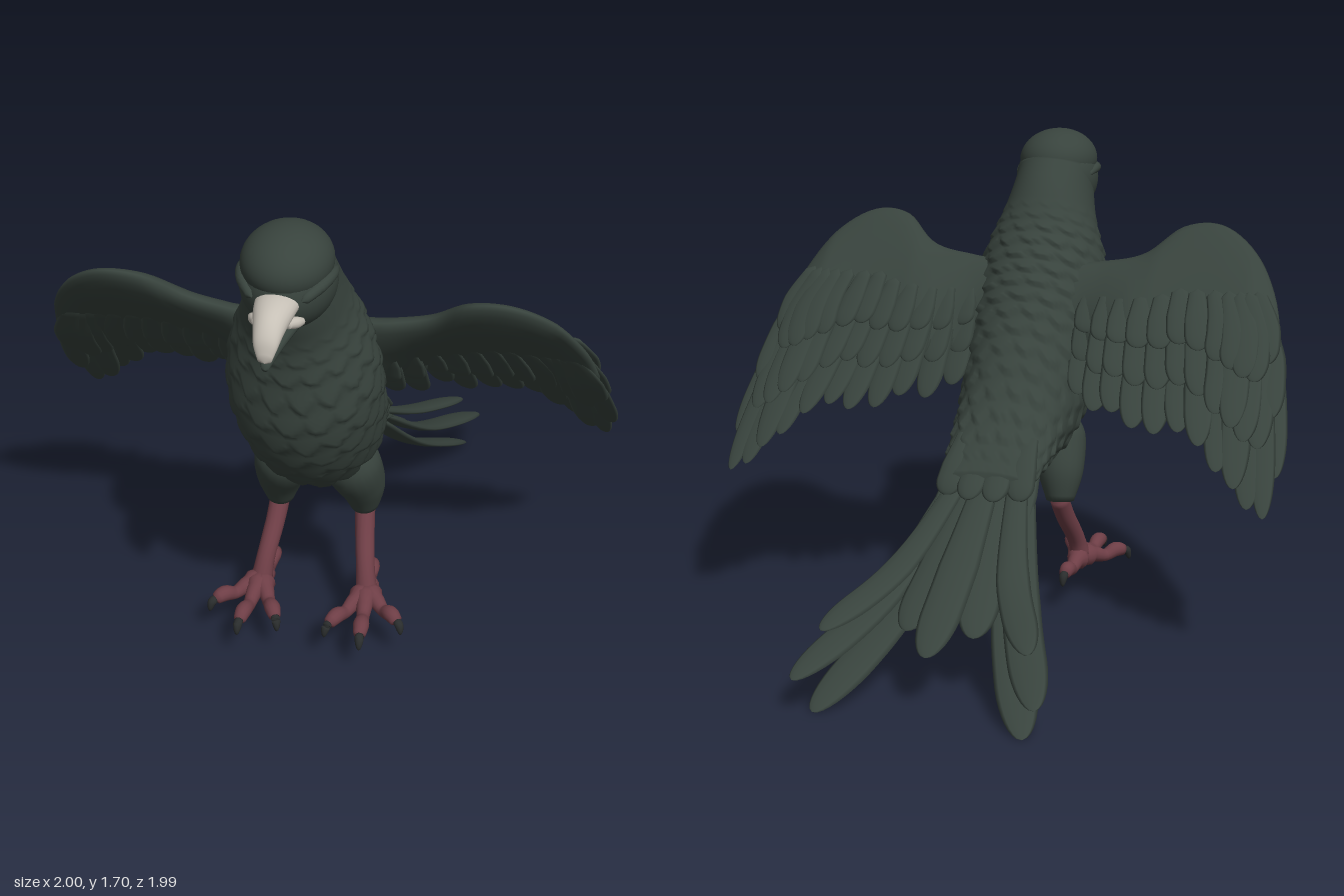
import * as THREE from 'three';

const V = (x, y, z) => new THREE.Vector3(x, y, z);
const clamp = (v) => Math.min(1, Math.max(0, v));
const path = (pts) => new THREE.CatmullRomCurve3(pts);

// Closed skin from rings: fn(u, angle) gives a point; faces are turned outward.
function skin(nu, nv, fn) {
  const pos = [], idx = [];
  for (let i = 0; i <= nu; i++) {
    for (let j = 0; j < nv; j++) pos.push(...fn(i / nu, (j / nv) * Math.PI * 2).toArray());
  }
  for (let i = 0; i < nu; i++) {
    for (let j = 0; j < nv; j++) {
      const a = i * nv + j, b = i * nv + (j + 1) % nv;
      idx.push(a, b, b + nv, a, b + nv, a + nv);
    }
  }
  let volume = 0;
  const at = (k) => V(pos[k * 3], pos[k * 3 + 1], pos[k * 3 + 2]);
  for (let k = 0; k < idx.length; k += 3) volume += at(idx[k]).dot(at(idx[k + 1]).cross(at(idx[k + 2])));
  if (volume < 0) idx.reverse();
  const g = new THREE.BufferGeometry();
  g.setAttribute('position', new THREE.Float32BufferAttribute(pos, 3));
  g.setIndex(idx);
  g.computeVertexNormals();
  return g;
}

// Oval ribs in the centre plane: [upper z, upper y, lower z, lower y, half width].
function ribs(rows, nu, nv, bump = () => 0) {
  const top = path(rows.map((r) => V(r[4], r[1], r[0])));
  const low = path(rows.map((r) => V(0, r[3], r[2])));
  return skin(nu, nv, (u, a) => {
    const t = top.getPoint(u), l = low.getPoint(u), w = t.x;
    t.x = 0;
    const mid = t.clone().add(l).multiplyScalar(0.5);
    if (u === 0 || u === 1) return mid;
    const half = t.sub(l).multiplyScalar(0.5), h = bump(u, a);
    const k = 1 + h / half.length();
    return mid.addScaledVector(half, Math.cos(a) * k).add(V(Math.sin(a) * (w + h), 0, 0));
  });
}

// Thin round-tipped vane along a path, lying across the given normal.
function feather(pts, width, thick, normal, tilt = 0) {
  const c = path(pts);
  return skin(20, 10, (u, a) => {
    const t = 1 - Math.pow(1 - u, 1.6);
    const side = c.getTangent(t).cross(normal).normalize();
    const n = normal.clone().addScaledVector(side, tilt).normalize();
    side.addScaledVector(normal, -tilt).normalize();
    const p = u === 0 ? 0 : Math.sqrt(Math.max(0, 1 - Math.max(0, (t - 0.75) / 0.25) ** 2));
    const w = width * p * (0.6 + 0.4 * Math.min(1, t * 2));
    return c.getPoint(t).addScaledVector(side, w * Math.cos(a)).addScaledVector(n, thick * p * Math.sin(a));
  });
}

// Round limb with a radius for each path point.
function limb(pts, radii, nu = 16, nv = 14) {
  const c = path(pts), r = path(radii.map((v) => V(v, 0, 0)));
  return skin(nu, nv, (u, a) => {
    const s = c.getTangent(u).cross(V(0.3, 0.5, -0.8)).normalize();
    const n = c.getTangent(u).cross(s).normalize();
    const k = u === 0 || u === 1 ? 0 : r.getPoint(u).x;
    return c.getPoint(u).addScaledVector(s, k * Math.cos(a)).addScaledVector(n, k * Math.sin(a));
  });
}

function ball(x, y, z, rx, ry, rz) {
  return new THREE.SphereGeometry(1, 36, 24).scale(rx, ry, rz).translate(x, y, z);
}

// Cambered wing surface: front-plane position to space, lifted along the back normal.
const wingBack = V(0, 0.643, -0.766);
function onWing(x, y, lift = 0) {
  const z = 0.47 - (1.4 - y) * 0.84
    + 0.08 * clamp((x - 0.8) / 0.2)
    + 0.03 * clamp((y - 1.1) / 0.2)
    - 0.05 * clamp((x - 0.4) / 0.2) * clamp((0.95 - y) / 0.2)
    + 0.04 * clamp((0.45 - x) / 0.2) * clamp((y - 0.9) / 0.3)
    + 0.14 * clamp((0.38 - x) / 0.18) * clamp((1.22 - y) / 0.3);
  return V(x, y, z).addScaledVector(wingBack, lift);
}

export function createModel() {
  const model = new THREE.Group();
  const mat = (name, color) => {
    const m = new THREE.MeshStandardMaterial({ color });
    m.name = name;
    return m;
  };
  const plumage = mat('dark green plumage', 0x38433d);
  const skinRed = mat('dull red skin', 0x6e3e46);
  const ivory = mat('ivory beak', 0xc6c0b6);
  const horn = mat('dark claw', 0x2a2d2d);

  const add = (name, geo, m) => {
    const mesh = new THREE.Mesh(geo, m);
    mesh.name = name;
    model.add(mesh);
  };
  const pair = (name, geo, m) => {
    add('left' + name, geo, m);
    const g = geo.clone().scale(-1, 1, 1);
    g.index.array.reverse();
    g.computeVertexNormals();
    add('right' + name, g, m);
  };

  // Body with overlapping scale-like plumage, smooth towards the neck
  const scales = (u, a) => {
    const r = u * 20, row = Math.floor(r), v = r - row;
    const c = (a / (Math.PI * 2)) * 15 + (row % 2) * 0.5;
    const d = c - Math.floor(c) - 0.5;
    const h = v > 2.2 * d * d ? 1 - v : 0.1;
    return 0.014 * h * clamp(u * 8) * clamp((0.84 - u) * 6);
  };
  add('body', ribs([
    [-0.24, 0.61, -0.24, 0.54, 0.16], [-0.14, 0.70, -0.10, 0.555, 0.175],
    [-0.02, 0.83, 0.07, 0.55, 0.19], [0.08, 0.97, 0.27, 0.54, 0.212],
    [0.16, 1.09, 0.45, 0.65, 0.235], [0.22, 1.19, 0.60, 0.80, 0.243],
    [0.28, 1.28, 0.69, 0.97, 0.24], [0.34, 1.37, 0.72, 1.17, 0.21],
    [0.385, 1.45, 0.74, 1.30, 0.175], [0.44, 1.53, 0.78, 1.41, 0.15],
    [0.52, 1.62, 0.80, 1.50, 0.135],
  ], 132, 108, scales), plumage);

  // Head, overhanging cap and brows
  add('head', ball(0, 1.52, 0.665, 0.15, 0.15, 0.185), plumage);
  add('cap', ball(0, 1.587, 0.68, 0.142, 0.113, 0.172), plumage);
  pair('Brow', limb([V(0.075, 1.525, 0.83), V(0.118, 1.55, 0.765), V(0.138, 1.555, 0.69), V(0.132, 1.54, 0.6)],
    [0.014, 0.02, 0.018, 0.01]), plumage);

  // Beak
  add('upperBeak', ribs([
    [0.79, 1.55, 0.79, 1.475, 0.072], [0.87, 1.549, 0.87, 1.462, 0.062],
    [0.94, 1.525, 0.93, 1.44, 0.048], [0.985, 1.475, 0.97, 1.42, 0.036], [1.0, 1.41, 0.985, 1.39, 0.018],
  ], 24, 24), ivory);
  add('lowerBeak', ribs([
    [0.74, 1.49, 0.74, 1.40, 0.08], [0.83, 1.47, 0.84, 1.405, 0.062],
    [0.92, 1.447, 0.92, 1.395, 0.04], [0.97, 1.415, 0.965, 1.378, 0.022], [0.992, 1.385, 0.99, 1.368, 0.009],
  ], 24, 20), plumage);
  pair('BeakCorner', limb([V(0.045, 1.48, 0.89), V(0.062, 1.47, 0.855), V(0.08, 1.462, 0.825)], [0.014, 0.018, 0.01]), ivory);

  // Wing arm: lens-shaped skin between the leading edge and the middle of the wing
  const lead = path([[0.1, 1.24], [0.25, 1.255], [0.4, 1.29], [0.53, 1.385], [0.66, 1.395], [0.79, 1.32],
    [0.885, 1.18], [0.945, 0.98]].map((p) => V(p[0], p[1], 0)));
  const trail = path([[0.12, 0.92], [0.25, 0.95], [0.38, 0.96], [0.48, 0.98], [0.57, 1.0], [0.65, 0.98],
    [0.74, 0.93], [0.84, 0.82]].map((p) => V(p[0], p[1], 0)));
  pair('WingArm', skin(40, 24, (u, a) => {
    const s = u === 0 || u === 1 ? 0 : 1, k = 0.5 - 0.5 * s * Math.cos(a);
    const p = lead.getPoint(u).lerp(trail.getPoint(u), k);
    return onWing(p.x, p.y, s * Math.sin(a) * (0.066 - 0.036 * k) * (1 - 0.5 * u));
  }), plumage);

  // Flight feathers: [root x, root y, tip x, tip y], with two covert rows behind and one in front
  const flight = [
    [0.83, 1.18, 0.975, 0.66], [0.8, 1.18, 0.955, 0.545], [0.77, 1.18, 0.9, 0.575], [0.73, 1.18, 0.85, 0.63],
    [0.68, 1.18, 0.785, 0.68], [0.62, 1.18, 0.715, 0.745], [0.56, 1.18, 0.635, 0.78], [0.5, 1.16, 0.555, 0.765],
    [0.43, 1.15, 0.47, 0.775], [0.36, 1.14, 0.39, 0.81], [0.3, 1.14, 0.31, 0.80], [0.23, 1.14, 0.235, 0.83],
  ];
  flight.forEach(([x0, y0, x1, y1], i) => {
    const vane = (name, from, to, lift, width) => {
      const pts = [from, (from + to) / 2, to].map((t, k) => onWing(
        x0 + (x1 - x0) * t + (k === 1 && i < 5 ? 0.02 : 0), y0 + (y1 - y0) * t, lift));
      pair(name + (i + 1), feather(pts, width, 0.01, wingBack, 0.14), plumage);
    };
    vane('FlightFeather', 0, 1, i % 2 ? 0.004 : -0.004, i < 2 ? 0.042 : 0.052);
    vane('LongCovert', 0.05, 0.7, 0.018, 0.05);
    vane('ShortCovert', 0, 0.42, 0.034, 0.046);
    vane('UnderCovert', 0.05, 0.64, -0.018, 0.05);
  });

  // Tail feathers, layered and fanned
  const up = V(0, 0.83, -0.55).normalize();
  const tailPairs = [
    [[0.09, 0.6, -0.14], [0.2, 0.365, -0.56], [0.345, 0.25, -0.88], 0.056],
    [[0.11, 0.59, -0.14], [0.235, 0.28, -0.58], [0.4, 0.12, -0.995], 0.064],
    [[0.1, 0.57, -0.14], [0.2, 0.215, -0.57], [0.35, 0.0, -0.955], 0.07],
    [[0.05, 0.6, -0.14], [0.08, 0.38, -0.46], [0.115, 0.215, -0.72], 0.07],
  ];
  tailPairs.forEach(([a, b, c, w], i) => {
    pair('TailFeather' + (i + 1), feather([V(...a), V(...b), V(...c)], w, 0.015, up, 0.08), plumage);
  });
  add('middleTailFeather', feather([V(0, 0.63, -0.14), V(0, 0.38, -0.52), V(0, 0.19, -0.86)], 0.07, 0.015, up), plumage);
  [0.04, 0.115].forEach((x, i) => {
    pair('RumpCovert' + (i + 1), feather([V(x, 0.72, -0.07), V(x * 1.05, 0.625, -0.19), V(x * 1.15, 0.54, -0.3 + i * 0.03)], 0.05, 0.016, up), plumage);
    pair('UnderTailCovert' + (i + 1), feather([V(x, 0.58, -0.05), V(x * 1.1, 0.54, -0.2), V(x * 1.2, 0.43, -0.36)], 0.05, 0.014, up), plumage);
  });

  // Legs and feet
  pair('Thigh', limb([V(0.1, 0.74, 0.3), V(0.122, 0.62, 0.265), V(0.145, 0.51, 0.212), V(0.153, 0.39, 0.18)],
    [0.05, 0.1, 0.084, 0.044], 20, 20), plumage);
  pair('Shank', limb([V(0.15, 0.44, 0.16), V(0.16, 0.34, 0.225), V(0.18, 0.22, 0.315), V(0.19, 0.14, 0.345)],
    [0.036, 0.035, 0.033, 0.04]), skinRed);
  const toes = [[0.1, 0.53], [0.21, 0.57], [0.315, 0.475], [0.18, 0.165]];
  toes.forEach(([x, z], i) => {
    const at = (t, y) => V(0.19 + (x - 0.19) * t, y, 0.34 + (z - 0.34) * t);
    pair('Toe' + (i + 1), limb([at(-0.08, 0.145), at(0.3, 0.145), at(0.6, 0.13), at(0.85, 0.145), at(1.1, 0.135)],
      [0.03, 0.03, 0.023, 0.028, 0.019]), skinRed);
    pair('Claw' + (i + 1), limb([at(1.04, 0.137), at(1.12, 0.134), at(1.17, 0.115), at(1.19, 0.095)],
      [0.014, 0.016, 0.012, 0.004], 10, 10), horn);
  });

  return model;
}
